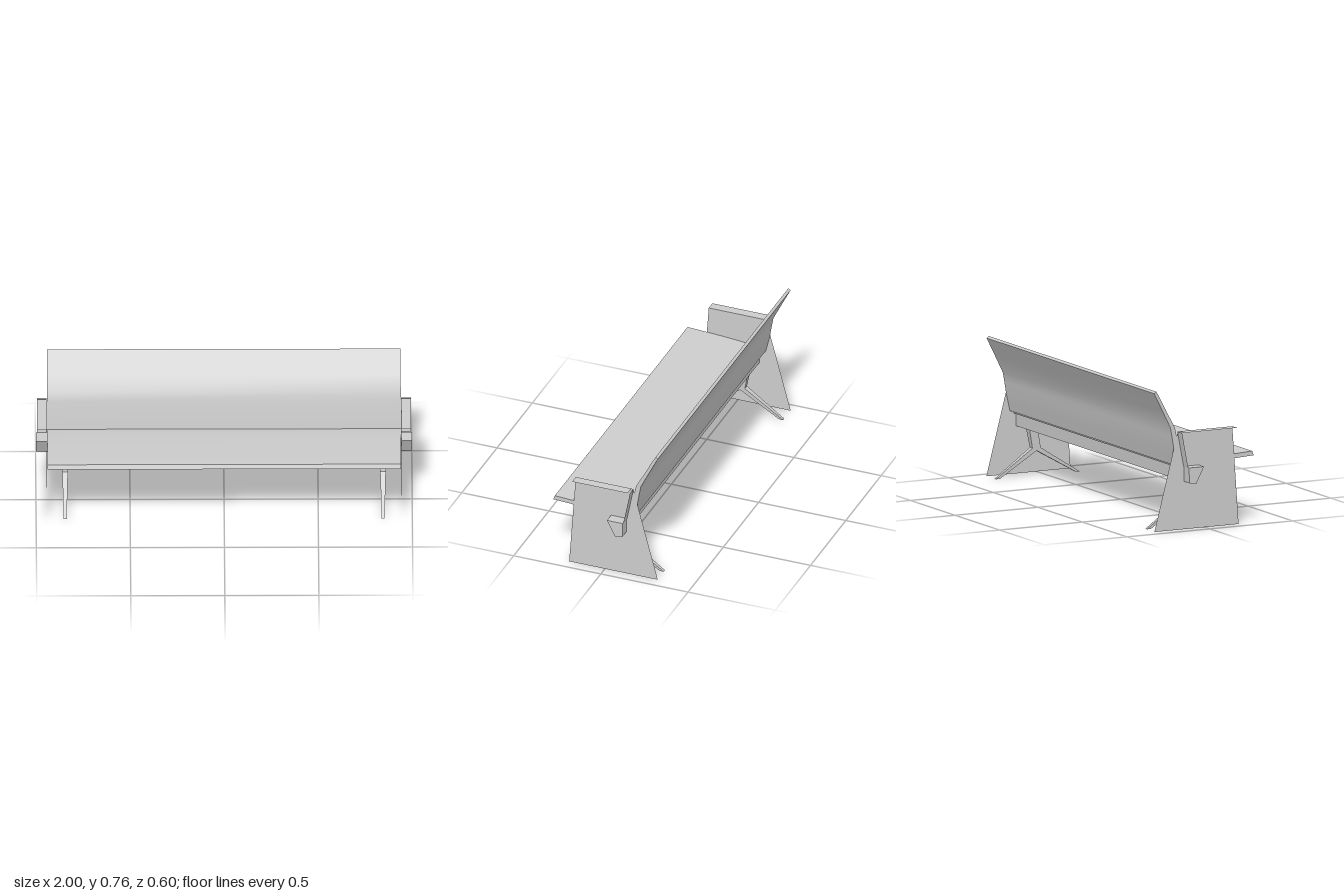
import * as THREE from 'three';
import { toCreasedNormals } from 'three/addons/utils/BufferGeometryUtils.js';

const gray = new THREE.MeshStandardMaterial({ color: 0xcccccc, side: THREE.DoubleSide });
gray.name = 'light gray metal';

const shapeOf = (pts) => new THREE.Shape(pts.map(([z, y]) => new THREE.Vector2(z, y)));

function addMesh(parent, name, geometry) {
  const mesh = new THREE.Mesh(geometry, gray);
  mesh.name = name;
  parent.add(mesh);
  return mesh;
}

// Sweeps a side profile of [z, y] points along x, centred on x = 0
function sweep(pts, width) {
  const g = new THREE.ExtrudeGeometry(shapeOf(pts), { depth: width, bevelEnabled: false });
  g.translate(0, 0, -width / 2).rotateY(-Math.PI / 2);
  return toCreasedNormals(g, 0.45);
}

// Curved sheet: points through the front/top face, offset by a thickness vector
function sheet(points, dz, dy, width) {
  const curve = new THREE.CatmullRomCurve3(points.map(([z, y]) => new THREE.Vector3(z, y, 0)));
  const face = curve.getPoints(16).map((p) => [p.x, p.y]);
  const back = face.map(([z, y]) => [z + dz, y + dy]).reverse();
  return sweep([...face, ...back], width);
}

// Tapered strut between two horizontal sections { z, y, w, d }
function strut(top, bottom) {
  const g = new THREE.BoxGeometry(1, 1, 1);
  const p = g.attributes.position;
  for (let i = 0; i < p.count; i++) {
    const s = p.getY(i) > 0 ? top : bottom;
    p.setXYZ(i, p.getX(i) * s.w, s.y, s.z + p.getZ(i) * s.d);
  }
  g.computeVertexNormals();
  return g;
}

export function createModel() {
  const bench = new THREE.Group();
  bench.name = 'bench';

  // Seat sheet, gently falling towards the back
  addMesh(bench, 'seat', sheet(
    [[0.288, 0.387], [0.18, 0.381], [0.02, 0.37], [-0.08, 0.36], [-0.146, 0.35]],
    0.009, -0.024, 1.88));

  // Backrest with a bend above the armrest height
  addMesh(bench, 'backrest', sweep([
    [-0.29, 0.757], [-0.268, 0.717], [-0.225, 0.637], [-0.178, 0.552],
    [-0.168, 0.505], [-0.157, 0.45], [-0.146, 0.385], [-0.14, 0.345],
    [-0.162, 0.342], [-0.172, 0.385], [-0.185, 0.44], [-0.196, 0.505],
    [-0.205, 0.553], [-0.251, 0.645], [-0.303, 0.747]], 1.88));

  // Supporting beam running through both side panels
  addMesh(bench, 'beam', sweep(
    [[-0.035, 0.34], [-0.125, 0.34], [-0.123, 0.257], [-0.082, 0.25]], 2));

  for (const side of [-1, 1]) {
    const end = new THREE.Group();
    end.name = side > 0 ? 'leftEnd' : 'rightEnd';
    bench.add(end);

    // Sheet side panel
    const panel = addMesh(end, 'sidePanel', new THREE.ShapeGeometry(shapeOf(
      [[0.205, 0], [0.167, 0.531], [-0.162, 0.531], [-0.303, 0]])).rotateY(-Math.PI / 2));
    panel.position.x = side * 0.942;

    // Flat armrest
    const arm = addMesh(end, 'armrest', new THREE.PlaneGeometry(0.052, 0.318).rotateX(-Math.PI / 2));
    arm.position.set(side * 0.968, 0.531, 0.008);

    // Leaning strip that carries the armrest on the beam
    const lean = Math.atan2(-0.037, 0.191);
    const post = addMesh(end, 'armPost', new THREE.PlaneGeometry(0.052, Math.hypot(0.037, 0.191)));
    post.rotation.x = lean;
    post.position.set(side * 0.968, 0.4355, -0.1455);

    // Forked leg: stem plus front and back branch
    const leg = new THREE.Group();
    leg.name = 'leg';
    leg.position.x = side * 0.845;
    end.add(leg);
    const fork = { z: -0.06, y: 0.15, w: 0.03, d: 0.05 };
    addMesh(leg, 'legStem', strut({ z: -0.085, y: 0.28, w: 0.042, d: 0.05 }, fork));
    addMesh(leg, 'frontLeg', strut(fork, { z: 0.192, y: 0, w: 0.016, d: 0.024 }));
    addMesh(leg, 'backLeg', strut(fork, { z: -0.29, y: 0, w: 0.016, d: 0.024 }));
  }
  return bench;
}
